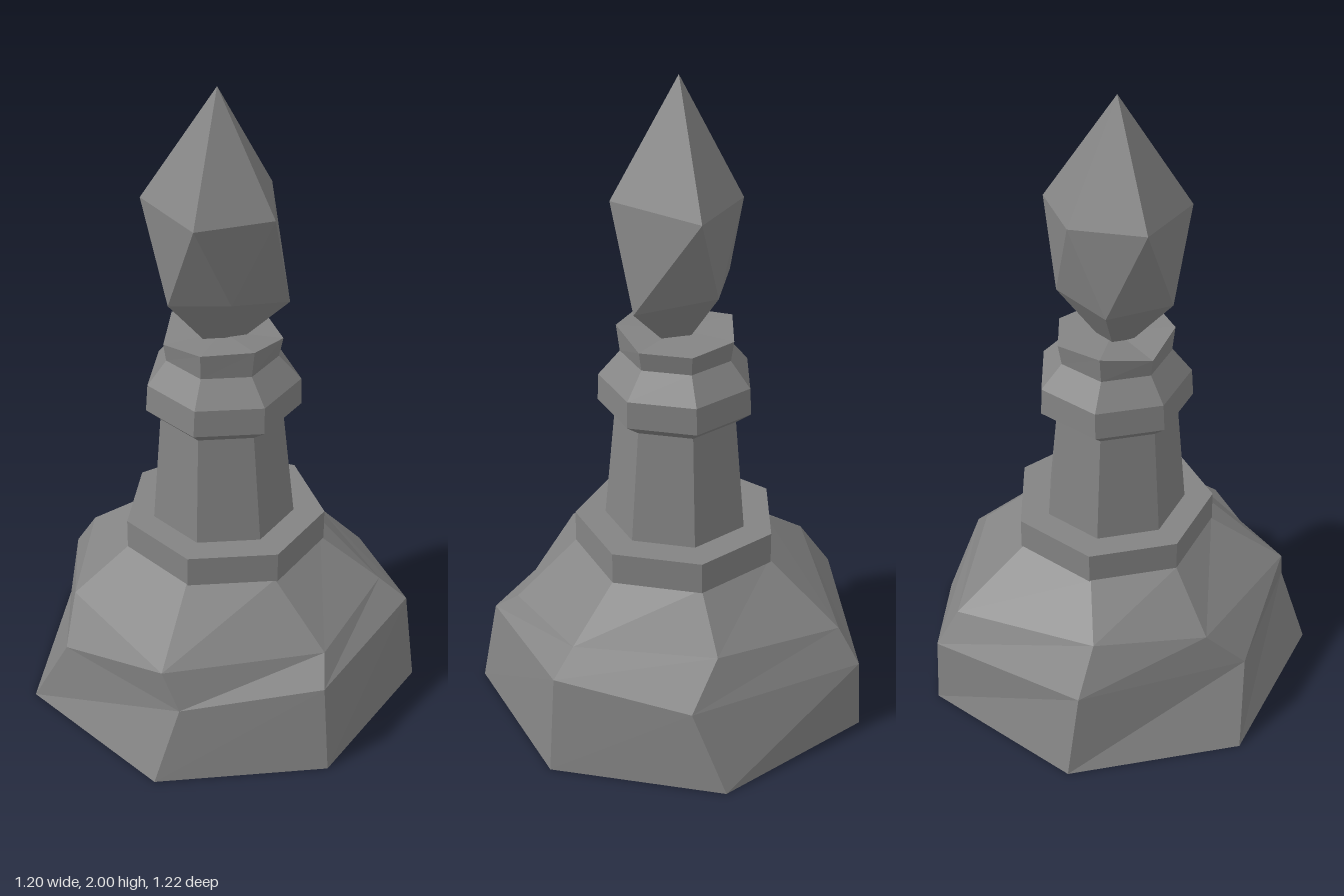
import * as THREE from 'three';

const material = new THREE.MeshStandardMaterial({ color: 0x848484, flatShading: true });

// Regular seven-sided ring, starting at -x and running round the back
function ring(y, r, cx = 0.02, lift = []) {
  return Array.from({ length: 7 }, (_, i) => {
    const a = Math.PI + (i * 2 * Math.PI) / 7;
    return [cx + r * Math.cos(a), y + (lift[i] || 0), r * Math.sin(a)];
  });
}

function centre(points) {
  return [0, 1, 2].map((k) => points.reduce((s, p) => s + p[k], 0) / points.length);
}

// Facets between stacked rings (bottom to top), closed by fans to two end points
function loft(name, rings, bottom = centre(rings[0]), top = centre(rings[rings.length - 1])) {
  const n = rings[0].length;
  const last = rings[rings.length - 1];
  const v = [];
  for (let i = 0; i < n; i++) {
    const j = (i + 1) % n;
    v.push(bottom, rings[0][i], rings[0][j]);
    for (let k = 0; k < rings.length - 1; k++) {
      const b = rings[k], t = rings[k + 1];
      v.push(b[j], b[i], t[i], b[j], t[i], t[j]);
    }
    v.push(top, last[j], last[i]);
  }
  const geometry = new THREE.BufferGeometry();
  geometry.setAttribute('position', new THREE.Float32BufferAttribute(v.flat(), 3));
  geometry.computeVertexNormals();
  const mesh = new THREE.Mesh(geometry, material);
  mesh.name = name;
  return mesh;
}

export function createModel() {
  const group = new THREE.Group();
  group.name = 'chessPiece';

  // Heavy foot with a rough-hewn, uneven shoulder
  const foot = [[-0.6, 0, 0], [-0.36, 0, -0.49], [0.17, 0, -0.61], [0.595, 0, -0.27],
    [0.595, 0, 0.27], [0.17, 0, 0.61], [-0.35, 0, 0.505]];
  const wallTop = [[-0.51, 0.24, 0.09], [-0.34, 0.26, -0.43], [0.17, 0.22, -0.6], [0.57, 0.25, -0.16],
    [0.56, 0.305, 0.26], [0.17, 0.27, 0.56], [-0.26, 0.23, 0.475]];
  const shoulder = [[-0.45, 0.36, -0.02], [-0.3, 0.4, -0.34], [0.15, 0.33, -0.53], [0.44, 0.37, -0.21],
    [0.48, 0.375, 0.22], [0.2, 0.34, 0.475], [-0.3, 0.35, 0.43]];
  group.add(loft('base', [foot, wallTop, shoulder, ring(0.515, 0.31, 0.03)]));

  // Flat collar on top of the base
  group.add(loft('baseCollar', [ring(0.51, 0.315, 0.035), ring(0.61, 0.315, 0.035)]));

  // Tapered stem
  group.add(loft('stem', [ring(0.6, 0.224, 0.03), ring(0.97, 0.19, 0.023)]));

  // Bulging neck ring with a flared, slightly uneven lip
  const lip = [-0.015, 0.01, -0.005, -0.01, -0.01, 0.015, 0.01];
  group.add(loft('neckRing', [
    ring(0.96, 0.19, 0.023),
    ring(1.0, 0.24, 0.028),
    ring(1.085, 0.236, 0.03),
    ring(1.16, 0.172, 0.025),
    ring(1.23, 0.182, 0.027, lip),
  ]));

  // Faceted five-sided head, pointed at both ends
  const headLower = [[-0.16, 1.38, 0.07], [-0.1, 1.38, -0.13], [0.12, 1.38, -0.14],
    [0.205, 1.345, 0.09], [0.01, 1.385, 0.135]];
  const headUpper = [[-0.2, 1.67, -0.06], [0, 1.65, -0.187], [0.215, 1.64, -0.11],
    [0.125, 1.655, 0.175], [-0.115, 1.655, 0.175]];
  group.add(loft('head', [headLower, headUpper], [0.02, 1.15, 0], [0.01, 2, 0]));

  return group;
}
